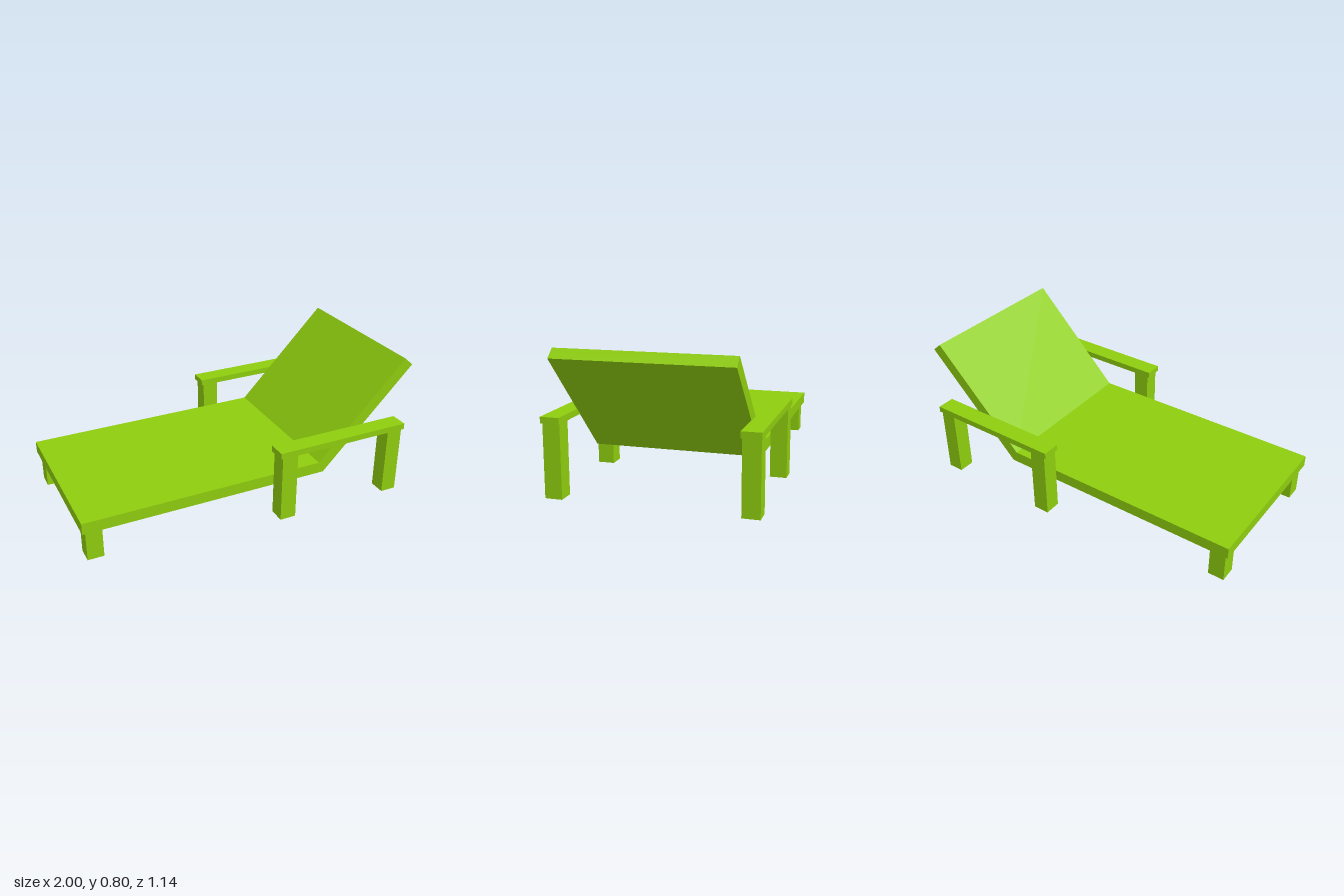
import * as THREE from 'three';

export function createModel() {
  const group = new THREE.Group();
  group.name = 'sunLounger';
  const green = new THREE.MeshStandardMaterial({ color: 0x8ecd0e });
  green.name = 'lime green';

  // Box given by its min and max along each axis
  const box = (name, [x0, x1], [y0, y1], [z0, z1]) => {
    const mesh = new THREE.Mesh(new THREE.BoxGeometry(x1 - x0, y1 - y0, z1 - z0), green);
    mesh.position.set((x0 + x1) / 2, (y0 + y1) / 2, (z0 + z1) / 2);
    mesh.name = name;
    group.add(mesh);
  };

  // Flat bed and raised backrest: one bent side profile extruded across the width
  const halfWidth = 0.47;
  const profile = new THREE.Shape([
    [-1, 0.18], [0.44, 0.18], [1, 0.75], [0.948, 0.796], [0.41, 0.246], [-1, 0.246],
  ].map(([x, y]) => new THREE.Vector2(x, y)));
  const bedGeometry = new THREE.ExtrudeGeometry(profile, { depth: halfWidth * 2, bevelEnabled: false });
  bedGeometry.translate(0, 0, -halfWidth);
  const bed = new THREE.Mesh(bedGeometry, green);
  bed.name = 'bedAndBackrest';
  group.add(bed);

  // Foot legs, armrests and armrest legs, mirrored front to back
  for (const [side, s] of [['front', 1], ['back', -1]]) {
    const span = (a, b) => (s > 0 ? [a, b] : [-b, -a]);
    box(side + 'FootLeg', [-0.98, -0.888], [0, 0.18], span(0.358, 0.452));
    box(side + 'Armrest', [0.097, 0.91], [0.4, 0.435], span(0.468, 0.572));
    box(side + 'ArmLegNear', [0.112, 0.207], [0, 0.4], span(0.472, 0.567));
    box(side + 'ArmLegFar', [0.802, 0.895], [0, 0.4], span(0.472, 0.567));
  }
  return group;
}
